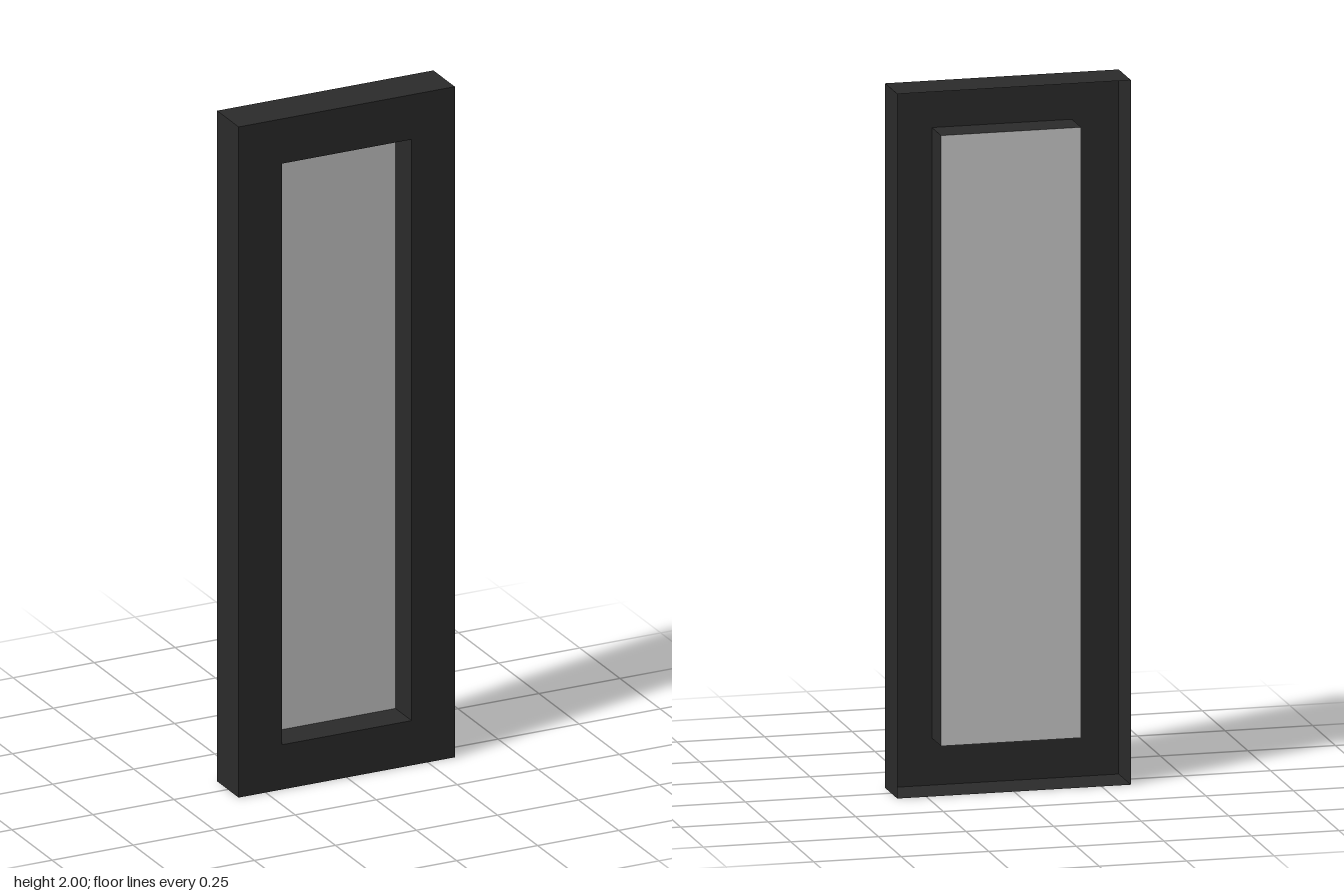
import * as THREE from 'three';

const W = 0.667, H = 2, FRONT = 0.0667, BACK = -0.0667;
const OPEN_W = 0.4, OPEN_H = 1.733, PANE_Z = -0.0333;

const dark = new THREE.MeshStandardMaterial({ color: 0x2b2b2b, side: THREE.DoubleSide });
const grey = new THREE.MeshStandardMaterial({ color: 0xcccccc, side: THREE.DoubleSide });

function add(parent, name, geometry, material) {
  const mesh = new THREE.Mesh(geometry, material);
  mesh.name = name;
  parent.add(mesh);
  return mesh;
}

// Four thin walls around a w x h rectangle, open at both ends; sign -1 faces inward
function sleeve(name, w, h, z0, z1, sign) {
  const group = new THREE.Group();
  group.name = name;
  const depth = z1 - z0, z = (z0 + z1) / 2;
  for (const s of [-1, 1]) {
    const side = add(group, s > 0 ? 'leftWall' : 'rightWall', new THREE.PlaneGeometry(depth, h), dark);
    side.position.set(s * w / 2, H / 2, z);
    side.rotation.y = s * sign * Math.PI / 2;
    const level = add(group, s > 0 ? 'topWall' : 'bottomWall', new THREE.PlaneGeometry(w, depth), dark);
    level.position.set(0, H / 2 + s * h / 2, z);
    level.rotation.x = -s * sign * Math.PI / 2;
  }
  return group;
}

function rectangle(path, w, h) {
  return path.moveTo(-w / 2, -h / 2).lineTo(w / 2, -h / 2).lineTo(w / 2, h / 2).lineTo(-w / 2, h / 2).closePath();
}

export function createModel() {
  const model = new THREE.Group();
  model.name = 'framedPanel';

  // Front of the frame with its window opening
  const shape = rectangle(new THREE.Shape(), W, H);
  shape.holes.push(rectangle(new THREE.Path(), OPEN_W, OPEN_H));
  add(model, 'frameFront', new THREE.ShapeGeometry(shape), dark).position.set(0, H / 2, FRONT);

  // Outer shell, open at the back, and the recess leading to the pane
  model.add(sleeve('outerShell', W, H, BACK, FRONT, 1));
  model.add(sleeve('windowRecess', OPEN_W, OPEN_H, PANE_Z, FRONT, -1));

  // Pane closing the recess
  add(model, 'pane', new THREE.PlaneGeometry(OPEN_W, OPEN_H), grey).position.set(0, H / 2, PANE_Z);

  return model;
}
